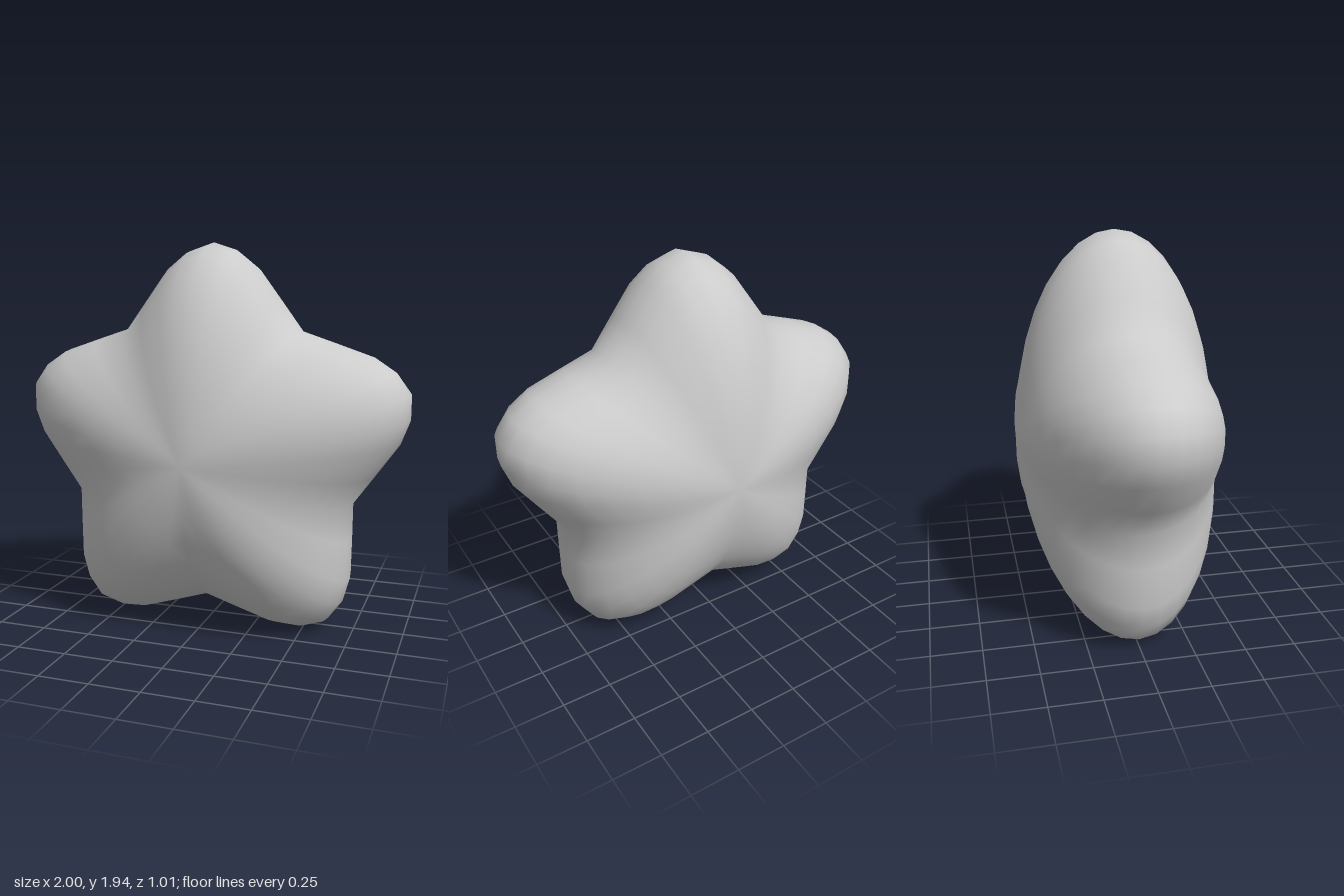
import * as THREE from 'three';
import { mergeVertices } from 'three/addons/utils/BufferGeometryUtils.js';

const CENTRE_Y = 0.89;
const HALF_DEPTH = 0.505;

// Half of one star arm, from tip to valley: degrees off the arm axis, radius
const HALF_ARM = [[0, 1.05], [6.7, 1.018], [13.3, 0.956], [24, 0.84], [36, 0.766]];

// Outline point k of 40, counted clockwise from the top tip
function outline(k) {
  const arm = Math.round(k / 8);
  const j = k - arm * 8;
  const [offset, radius] = HALF_ARM[Math.abs(j)];
  const angle = THREE.MathUtils.degToRad(arm * 72 + Math.sign(j) * offset);
  return [Math.sin(angle) * radius, Math.cos(angle) * radius];
}

export function createModel() {
  const group = new THREE.Group();
  group.name = 'puffyStar';

  // Sphere with its poles at front and back, its rings reshaped into stars
  let geometry = new THREE.SphereGeometry(1, 40, 18);
  geometry.rotateX(Math.PI / 2);
  const p = geometry.attributes.position;
  for (let i = 0; i < p.count; i++) {
    const x = p.getX(i), y = p.getY(i);
    const ring = Math.hypot(x, y);
    const [ox, oy] = outline(Math.round(Math.atan2(x, y) / (Math.PI / 20)));
    p.setXYZ(i, ox * ring, CENTRE_Y + oy * ring, p.getZ(i) * HALF_DEPTH);
  }

  // Weld the seam so the shading is smooth all round
  geometry.deleteAttribute('normal');
  geometry.deleteAttribute('uv');
  geometry = mergeVertices(geometry, 1e-4);
  geometry.computeVertexNormals();

  const star = new THREE.Mesh(geometry, new THREE.MeshStandardMaterial({ color: 0xcccccc }));
  star.name = 'starBody';
  group.add(star);
  return group;
}
